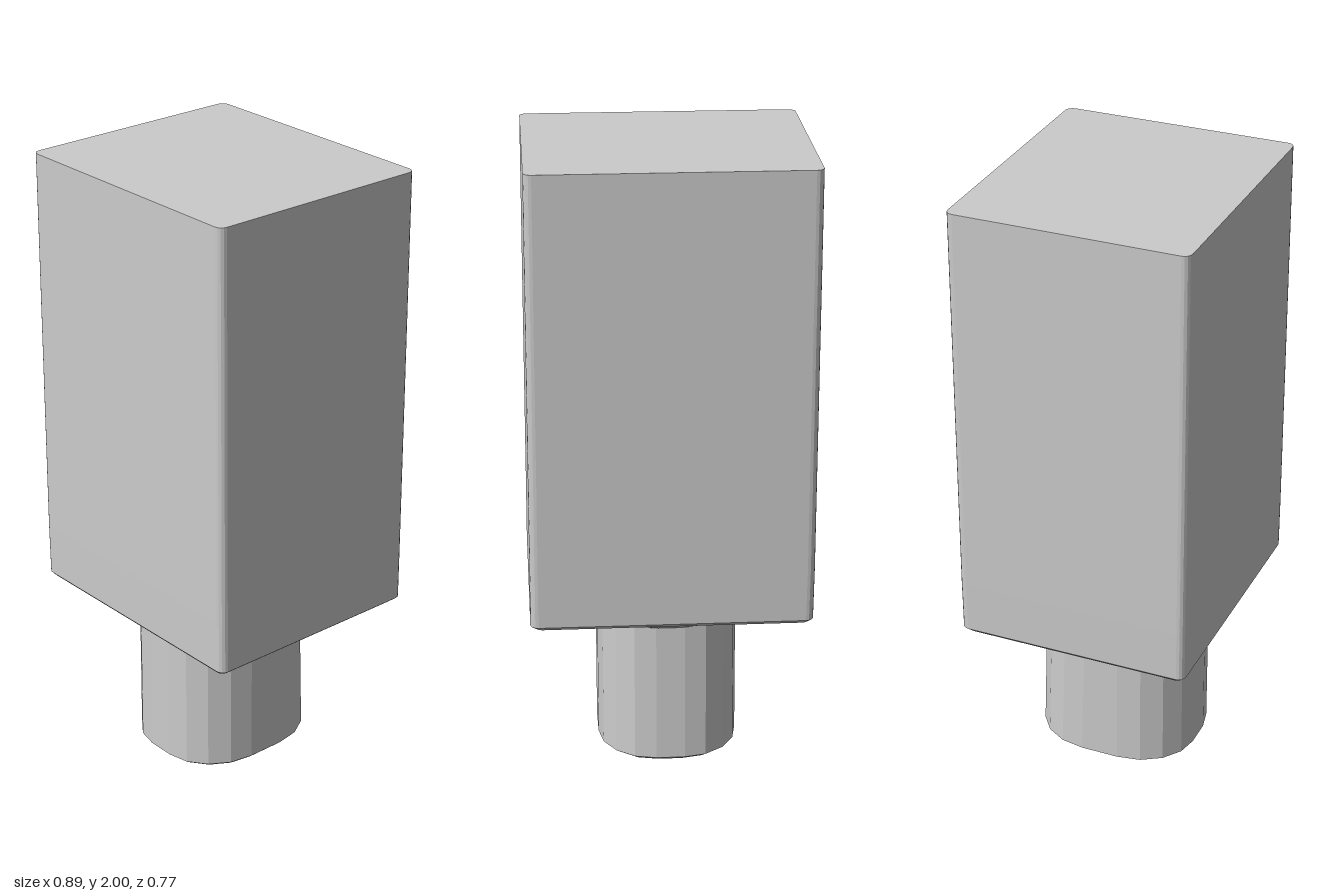
import * as THREE from 'three';

const STEPS = 5; // points per rounded corner

// Horizontal rounded rectangle: height, bounds in x and z, corner radii
function ring(y, x0, x1, z0, z1, rx, rz) {
  const cx = (x0 + x1) / 2, cz = (z0 + z1) / 2;
  const hx = (x1 - x0) / 2 - rx, hz = (z1 - z0) / 2 - rz;
  const signs = [[1, 1], [-1, 1], [-1, -1], [1, -1]];
  const points = [];
  signs.forEach(([sx, sz], corner) => {
    for (let i = 0; i < STEPS; i++) {
      const a = (corner + i / (STEPS - 1)) * Math.PI / 2;
      points.push(new THREE.Vector3(
        cx + sx * hx + rx * Math.cos(a), y, cz + sz * hz + rz * Math.sin(a)));
    }
  });
  return points;
}

// Skin a stack of rings from bottom to top and cap both ends
function loft(name, rings, material) {
  const pos = [];
  const tri = (...corners) => corners.forEach((p) => pos.push(p.x, p.y, p.z));
  const n = rings[0].length;
  for (let r = 0; r < rings.length - 1; r++) {
    for (let i = 0; i < n; i++) {
      const j = (i + 1) % n, low = rings[r], high = rings[r + 1];
      tri(low[i], high[i], high[j]);
      tri(low[i], high[j], low[j]);
    }
  }
  const bottom = rings[0], top = rings[rings.length - 1];
  for (let i = 1; i < n - 1; i++) {
    tri(bottom[0], bottom[i], bottom[i + 1]);
    tri(top[0], top[i + 1], top[i]);
  }
  const geometry = new THREE.BufferGeometry();
  geometry.setAttribute('position', new THREE.Float32BufferAttribute(pos, 3));
  geometry.computeVertexNormals();
  const mesh = new THREE.Mesh(geometry, material);
  mesh.name = name;
  return mesh;
}

export function createModel() {
  const group = new THREE.Group();
  group.name = 'blockOnStem';
  const grey = new THREE.MeshStandardMaterial({ color: 0xcccccc, flatShading: true });

  // Tall block: eased lower edge, softened uprights, crisp top
  group.add(loft('body', [
    ring(0.535, -0.43, 0.425, -0.365, 0.37, 0.02, 0.02),
    ring(0.55, -0.445, 0.443, -0.382, 0.384, 0.025, 0.025),
    ring(0.72, -0.447, 0.442, -0.383, 0.385, 0.025, 0.025),
    ring(2, -0.447, 0.437, -0.383, 0.385, 0.025, 0.025),
  ], grey));

  // Flared collar from the oval stem to the block's underside
  group.add(loft('collar', [
    ring(0.475, -0.23, 0.225, -0.25, 0.265, 0.19, 0.2),
    ring(0.54, -0.32, 0.25, -0.33, 0.36, 0.01, 0.01),
  ], grey));

  // Oval stem with an eased foot
  group.add(loft('stem', [
    ring(0, -0.21, 0.205, -0.24, 0.25, 0.17, 0.19),
    ring(0.015, -0.23, 0.222, -0.26, 0.268, 0.18, 0.2),
    ring(0.48, -0.23, 0.222, -0.245, 0.268, 0.18, 0.2),
  ], grey));

  return group;
}
